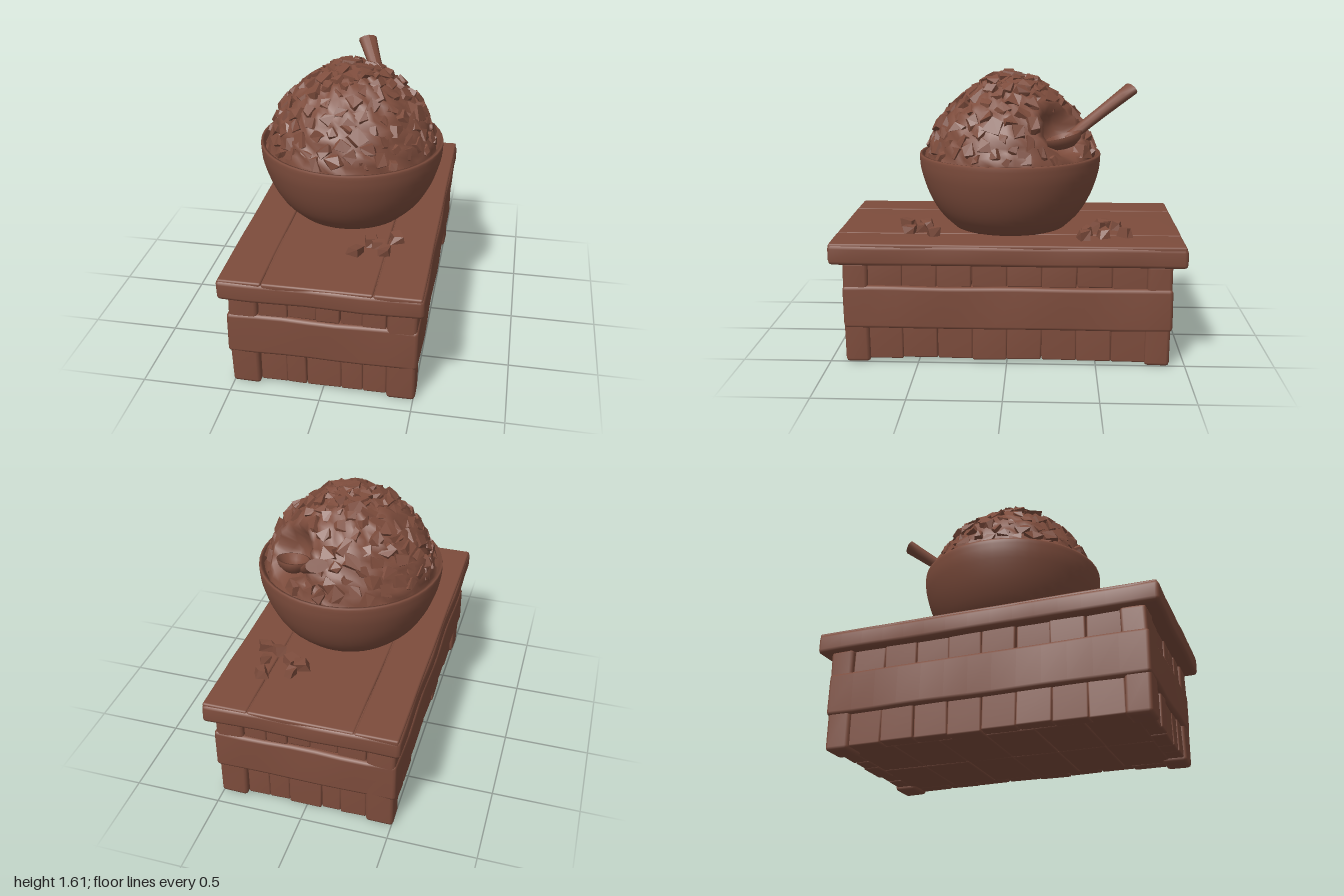
import * as THREE from 'three';
import { mergeVertices, mergeGeometries } from 'three/addons/utils/BufferGeometryUtils.js';

const brown = new THREE.MeshStandardMaterial({ color: 0x7d4c3c });
brown.name = 'clay brown';

let seed = 7;
const rand = () => { seed = (seed * 16807) % 2147483647; return seed / 2147483647; };
const range = (a, b) => a + (b - a) * rand();

function add(parent, geometry, name) {
  const mesh = new THREE.Mesh(geometry, brown);
  mesh.name = name;
  parent.add(mesh);
  return mesh;
}

function moveVertices(geometry, rule) {
  const pos = geometry.attributes.position, v = new THREE.Vector3();
  for (let i = 0; i < pos.count; i++) {
    rule(v.fromBufferAttribute(pos, i));
    pos.setXYZ(i, v.x, v.y, v.z);
  }
  return geometry;
}

// Board between two corners, with worn edges and a slightly wavy surface
function board(min, max, r = 0.02, wobble = 0.006) {
  const size = max.map((m, i) => m - min[i]);
  const segs = size.map(s => Math.max(3, Math.round(s / 0.12)));
  let g = new THREE.BoxGeometry(...size, ...segs);
  g.deleteAttribute('normal');
  g.deleteAttribute('uv');
  g = mergeVertices(g);
  const phase = range(0, 6), q = new THREE.Vector3();
  moveVertices(g, v => {
    ['x', 'y', 'z'].forEach((a, i) => {
      const h = size[i] / 2, inner = h - size[i] / segs[i];
      if (Math.abs(v[a]) < h - 1e-4) v[a] *= (h - r) / inner;
      q[a] = THREE.MathUtils.clamp(v[a], r - h, h - r);
    });
    v.sub(q).setLength(r).add(q);
    const { x, y, z } = v;
    v.x += wobble * Math.sin(9 * z + 7 * y + phase);
    v.y += wobble * 0.5 * Math.sin(11 * x + 8 * z + phase);
    v.z += wobble * Math.sin(10 * x + 9 * y + phase * 2);
  });
  g.computeVertexNormals();
  return g.translate(...min.map((m, i) => (m + max[i]) / 2));
}

// Angular crumb: a box with shifted corners
function chip(s, flatness = 0.8) {
  const g = new THREE.BoxGeometry(s * range(0.8, 1.3), s * flatness, s * range(0.8, 1.3));
  const shifts = Array.from({ length: 8 }, () =>
    [0, 1, 2].map(() => range(-0.22, 0.22) * s));
  moveVertices(g, v => {
    const k = shifts[(v.x > 0 ? 1 : 0) + (v.y > 0 ? 2 : 0) + (v.z > 0 ? 4 : 0)];
    const taper = v.y > 0 ? 0.8 : 1;
    v.set(v.x * taper + k[0], v.y + k[1] * 0.6, v.z * taper + k[2]);
  });
  const flat = g.toNonIndexed();
  flat.computeVertexNormals();
  return flat;
}

function makeCrate() {
  const crate = new THREE.Group();
  crate.name = 'crate';
  // Lid slab and the three tight planks on it
  add(crate, board([-0.55, 0.58, -0.99], [0.55, 0.694, 0.99], 0.022, 0.004), 'lidSlab');
  [[-0.542, -0.305], [-0.303, 0.287], [0.289, 0.542]].forEach(([a, b]) =>
    add(crate, board([a, 0.66, -0.984], [b, 0.702, 0.984], 0.01, 0.001), 'lidPlank'));
  // Solid inside and the wide middle band
  add(crate, board([-0.45, 0.025, -0.85], [0.45, 0.6, 0.85], 0.01, 0), 'crateCore');
  add(crate, board([-0.522, 0.205, -0.92], [0.522, 0.45, 0.92], 0.02, 0.004), 'middleBand');
  // Corner posts
  for (const sx of [-1, 1]) for (const sz of [-1, 1]) {
    const x = sx * 0.43, z = sz * 0.845;
    const g = board([x - 0.08, 0.002, z - 0.07], [x + 0.08, 0.59, z + 0.07], 0.02, 0.003);
    moveVertices(g, v => { v.x *= 1 + 0.025 * (v.y - 0.2); });
    add(crate, g, 'cornerPost');
  }
  // Short upright planks above and below the band, on all four sides
  for (const [y0, y1] of [[0.012, 0.215], [0.44, 0.59]]) for (const s of [-1, 1]) {
    const endCuts = y0 < 0.2 ? [-0.35, -0.2, -0.09, 0.1, 0.22, 0.35] : [-0.35, -0.19, -0.03, 0.1, 0.22, 0.35];
    for (let i = 0; i < 5; i++) {
      const out = range(0.89, 0.905), bottom = y0 + range(0, 0.01);
      const z = [s * 0.8, s * out].sort((a, b) => a - b);
      add(crate, board([endCuts[i], bottom, z[0]], [endCuts[i + 1], y1, z[1]], 0.01, 0.003), 'endPlank');
    }
    for (let i = 0; i < 8; i++) {
      const z = -0.78 + i * 0.195, out = range(0.48, 0.495);
      const x = [s * 0.4, s * out].sort((a, b) => a - b);
      add(crate, board([x[0], y0 + range(0, 0.01), z], [x[1], y1, z + 0.195], 0.01, 0.003), 'sidePlank');
    }
  }
  // Floor planks
  for (let i = 0; i < 6; i++) {
    const z = -0.81 + i * 0.27;
    for (const x of [-0.41, 0]) {
      add(crate, board([x, range(0.012, 0.02), z], [x + 0.41, 0.06, z + 0.27], 0.008, 0.002), 'floorPlank');
    }
  }
  return crate;
}

const profile = pts => pts.map(p => new THREE.Vector2(...p));

// Heap with a lumpy surface, half-sunk chips and a scooped hollow
function makeHeap() {
  const heap = new THREE.Group();
  heap.name = 'heap';
  const hollow = new THREE.Vector3(0.26, 1.3, -0.32), radius = 0.155;
  const outward = new THREE.Vector3(0.6, 0.4, -0.7).normalize();
  const curve = new THREE.SplineCurve(profile([[0.495, 1.07], [0.465, 1.18], [0.415, 1.3],
    [0.34, 1.4], [0.215, 1.505], [0.1, 1.56], [0, 1.58]]));
  let g = new THREE.LatheGeometry(curve.getPoints(22), 60);
  g.deleteAttribute('normal');
  g.deleteAttribute('uv');
  g = mergeVertices(g, 1e-4);
  moveVertices(g, v => {
    const n = range(-0.02, 0.02);
    v.x += v.x * n + range(-0.009, 0.009);
    v.z += v.z * n + range(-0.009, 0.009);
    v.y += n * 0.7;
    // Sink the vertices over the hollow to its inner half
    const away = v.clone().sub(hollow), depth = away.dot(outward);
    const side = away.addScaledVector(outward, -depth).length();
    if (side < radius) {
      v.addScaledVector(outward, Math.min(0, -Math.sqrt(radius ** 2 - side ** 2) - depth));
    }
  });
  g.computeVertexNormals();
  add(heap, g, 'heapBody');

  const chips = [], up = new THREE.Vector3(0, 1, 0), count = 190;
  for (let i = 0; i < count; i++) {
    const t = Math.pow((i + 0.5) / count, 1.3) * 0.84 + 0.12, a = i * 2.39996;
    const p = curve.getPoint(t), d = curve.getTangent(t);
    const at = new THREE.Vector3(p.x * Math.cos(a), p.y, p.x * Math.sin(a));
    if (at.distanceTo(hollow) < radius + 0.03) continue;
    const normal = new THREE.Vector3(d.y * Math.cos(a), -d.x, d.y * Math.sin(a)).normalize();
    const sunk = at.clone().addScaledVector(normal, -range(0.008, 0.02));
    normal.x += range(-0.3, 0.3);
    normal.z += range(-0.3, 0.3);
    const turn = new THREE.Quaternion().setFromUnitVectors(up, normal.normalize());
    const c = chip(range(0.055, 0.08)).rotateY(range(0, 6)).applyQuaternion(turn);
    chips.push(c.translate(sunk.x, sunk.y, sunk.z));
  }
  chips.push(chip(0.08).translate(0, 1.57, 0));
  add(heap, mergeGeometries(chips), 'heapChips');
  return heap;
}

function makeSpoon() {
  const spoon = new THREE.Group();
  spoon.name = 'spoon';
  // Scoop: thin half shell, tilted with the handle
  const scoop = new THREE.LatheGeometry(profile([[0, -0.075], [0.05, -0.065], [0.085, -0.035],
    [0.1, 0], [0.088, 0.002], [0.07, -0.028], [0.04, -0.05], [0, -0.058]]), 20);
  const cup = add(spoon, scoop, 'spoonScoop');
  cup.scale.set(0.95, 1, 1.15);
  cup.position.set(0.24, 1.26, -0.305);
  cup.rotation.set(0.25, 0.4, 0);
  // Handle: flattened rod that widens towards its end
  const from = new THREE.Vector3(0.15, 1.225, -0.325), to = new THREE.Vector3(-0.03, 1.5, -0.705);
  const length = from.distanceTo(to);
  const handle = new THREE.CylinderGeometry(1, 1, length, 10, 6);
  moveVertices(handle, v => {
    const t = v.y / length + 0.5;
    v.x *= 0.034 + 0.024 * t * t + 0.02 * Math.pow(1 - t, 4);
    v.z *= 0.028 + 0.009 * t;
  });
  handle.computeVertexNormals();
  const y = to.clone().sub(from).normalize();
  const z = new THREE.Vector3(0, 1, 0).addScaledVector(y, -y.y).normalize();
  const x = y.clone().cross(z);
  handle.applyMatrix4(new THREE.Matrix4().makeBasis(x, y, z));
  add(spoon, handle, 'spoonHandle').position.copy(from).lerp(to, 0.5);
  return spoon;
}

export function createModel() {
  const model = new THREE.Group();
  model.name = 'bowlOnCrate';
  model.add(makeCrate());

  // Bowl with a thin rim
  const outer = new THREE.SplineCurve(profile([[0.33, 0.7], [0.415, 0.785], [0.48, 0.9],
    [0.522, 1.03], [0.531, 1.12]])).getPoints(14);
  const wall = [new THREE.Vector2(0, 0.695), ...outer,
    ...profile([[0.528, 1.132], [0.512, 1.13], [0.498, 1.05], [0.45, 0.95]])];
  add(model, new THREE.LatheGeometry(wall, 48), 'bowl');

  model.add(makeHeap(), makeSpoon());

  // Crumbs fallen on the lid, behind and in front of the bowl
  const crumbs = [[0.16, -0.62], [0.32, -0.67], [0.34, -0.54], [0.2, -0.52], [0.3, -0.44], [0.38, -0.43], [0.13, -0.54],
    [0.13, 0.59], [0.28, 0.56], [0.2, 0.47], [0.33, 0.42], [0.24, 0.5]];
  for (const [x, z] of crumbs) {
    add(model, chip(range(0.055, 0.07), 0.9).rotateY(range(0, 6)), 'crumb').position.set(x, 0.722, z);
  }
  return model;
}
